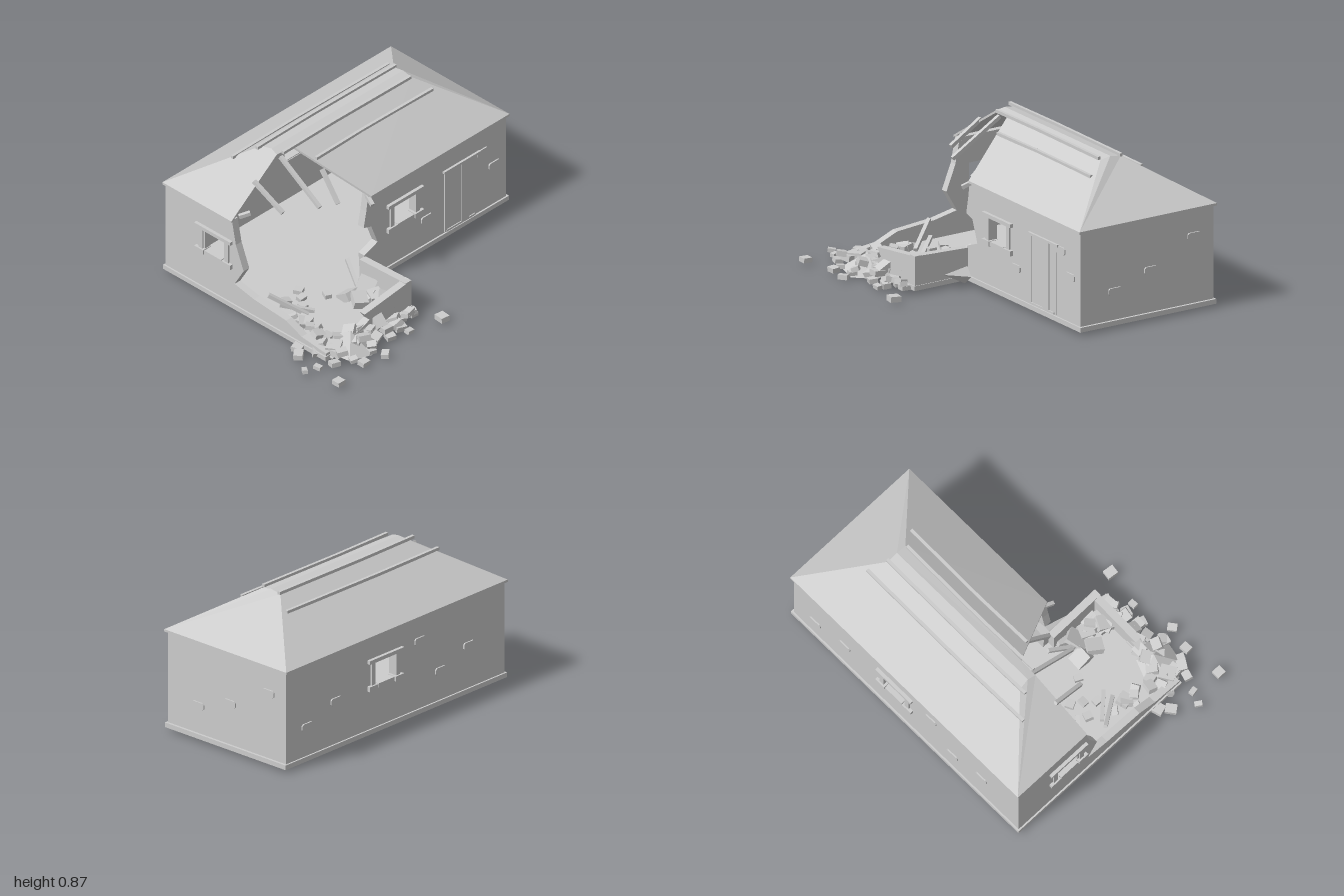
import * as THREE from 'three';

export function createModel() {
  const root = new THREE.Group();
  const plaster = new THREE.MeshStandardMaterial({ color: 0xcccccc, flatShading: true, side: THREE.DoubleSide });
  plaster.name = 'pale grey plaster';

  const add = (name, geo, x = 0, y = 0, z = 0) => {
    const m = new THREE.Mesh(geo, plaster);
    m.name = name;
    m.position.set(x, y, z);
    root.add(m);
    return m;
  };
  const box = (name, x0, x1, y0, y1, z0, z1) =>
    add(name, new THREE.BoxGeometry(x1 - x0, y1 - y0, z1 - z0), (x0 + x1) / 2, (y0 + y1) / 2, (z0 + z1) / 2);
  const path = pts => pts.map(p => new THREE.Vector2(p[0], p[1]));
  const extrude = (pts, depth, hole) => {
    const s = new THREE.Shape(path(pts));
    if (hole) {
      const [a, b, c, d] = hole;
      s.holes.push(new THREE.Path(path([[a, c], [a, d], [b, d], [b, c]])));
    }
    return new THREE.ExtrudeGeometry(s, { depth, bevelEnabled: false });
  };
  // Walls: outline in (x, y) facing front, or in (z, y) facing sideways
  const T = 0.045;
  const wallZ = (name, pts, z, hole) => add(name, extrude(pts, T, hole), 0, 0, z);
  const wallX = (name, pts, x, hole) => add(name, extrude(pts, T, hole).rotateY(-Math.PI / 2), x, 0, 0);
  // Square beam between two points
  const beam = (name, a, b, w = 0.018) => {
    const A = new THREE.Vector3(...a), B = new THREE.Vector3(...b);
    const m = add(name, new THREE.BoxGeometry(w, w, A.distanceTo(B)));
    m.position.copy(A).lerp(B, 0.5);
    m.lookAt(B);
    return m;
  };

  // L-shaped foundation and floor
  const plan = [[-0.815, 0.745], [0.995, 0.745], [0.995, -0.165], [-0.125, -0.165], [-0.125, -0.515], [-0.815, -0.515]];
  const lower = add('foundation', extrude(plan, 0.028).rotateX(-Math.PI / 2));
  lower.position.y = 0.015;

  // Main walls, with the front left corner broken away
  wallZ('frontWall', [[-0.13, 0.04], [0.98, 0.04], [0.98, 0.6], [-0.11, 0.6], [-0.125, 0.5], [-0.145, 0.4],
    [-0.085, 0.38], [-0.035, 0.25], [-0.14, 0.21]], 0.11, [0.09, 0.26, 0.3, 0.45]);
  wallZ('backWall', [[-0.8, 0.04], [0.98, 0.04], [0.98, 0.6], [-0.8, 0.6]], -0.735, [0.09, 0.26, 0.3, 0.45]);
  wallX('rightWall', [[-0.735, 0.04], [0.155, 0.04], [0.155, 0.6], [-0.735, 0.6]], 0.98);
  wallX('brokenLeftWall', [[-0.735, 0.04], [0.51, 0.04], [0.51, 0.06], [0.32, 0.08], [0.2, 0.13], [-0.05, 0.15],
    [-0.2, 0.18], [-0.13, 0.3], [-0.19, 0.45], [-0.22, 0.6], [-0.735, 0.6]], -0.76, [-0.43, -0.28, 0.3, 0.45]);
  wallX('lowWingSideWall', [[0.15, 0.03], [0.51, 0.03], [0.51, 0.215], [0.15, 0.2]], -0.13);
  wallZ('lowWingFrontWall', [[-0.78, 0.03], [-0.13, 0.03], [-0.13, 0.215], [-0.5, 0.17], [-0.46, 0.115],
    [-0.55, 0.08], [-0.78, 0.06]], 0.465);

  // Window surrounds: u runs along the wall, put() maps it into place
  const surround = (name, u, put) => {
    [[-0.14, 0.14, 0.44, 0.462, 0.02], [-0.14, -0.07, 0.275, 0.305, 0.02], [-0.065, 0.065, 0.28, 0.305, 0.016],
      [0.07, 0.14, 0.275, 0.305, 0.02], [-0.115, -0.085, 0.305, 0.44, 0.01], [0.085, 0.115, 0.305, 0.44, 0.01]]
      .forEach(([a, b, y0, y1, out]) => put(name, u + a, u + b, y0, y1, out));
  };
  const onFront = (n, a, b, y0, y1, o) => box(n, a, b, y0, y1, 0.115, 0.155 + o);
  const onBack = (n, a, b, y0, y1, o) => box(n, a, b, y0, y1, -0.735 - o, -0.695);
  const onLeft = (n, a, b, y0, y1, o) => box(n, -0.805 - o, -0.765, y0, y1, a, b);
  surround('frontWindowFrame', 0.175, onFront);
  surround('backWindowFrame', 0.175, onBack);
  surround('sideWindowFrame', -0.355, onLeft);

  // Door with lintel, threshold and raised planks
  onFront('door', 0.5, 0.75, 0.05, 0.45, 0.004);
  onFront('doorPlank', 0.62, 0.68, 0.05, 0.455, 0.01);
  onFront('doorJamb', 0.49, 0.51, 0.05, 0.455, 0.008);
  onFront('doorLintel', 0.48, 0.77, 0.452, 0.465, 0.014);
  onFront('doorThreshold', 0.5, 0.73, 0.048, 0.06, 0.01);

  // Stones showing through the plaster
  const stoneShape = [[-0.043, -0.012], [-0.034, -0.021], [0.034, -0.021], [0.043, -0.012],
    [0.043, 0.012], [0.034, 0.021], [-0.034, 0.021], [-0.043, 0.012]];
  const stoneGeo = extrude(stoneShape, 0.016);
  [[0.35, 0.215], [0.79, 0.44], [0.885, 0.31]].forEach(([x, y]) => add('wallStone', stoneGeo, x, y, 0.147));
  [[0.81, 0.22], [0.575, 0.3], [-0.11, 0.45], [-0.28, 0.22], [-0.51, 0.3]]
    .forEach(([x, y]) => add('wallStone', stoneGeo, x, y, -0.743));
  [[-0.075, 0.21], [-0.315, 0.29], [-0.605, 0.435]]
    .forEach(([z, y]) => { add('wallStone', stoneGeo, 0.972, y, z).rotation.y = Math.PI / 2; });

  // Roof panels: convex outlines given a small thickness
  const panel = (name, pts, t = 0.014) => {
    const pos = [], n = pts.length, low = pts.map(p => [p[0], p[1] - t, p[2]]);
    const tri = (...c) => c.forEach(p => pos.push(...p));
    for (let i = 0; i < n; i++) {
      const j = (i + 1) % n;
      if (i > 0 && i < n - 1) { tri(pts[0], pts[i], pts[j]); tri(low[0], low[j], low[i]); }
      tri(pts[i], low[i], low[j]);
      tri(pts[i], low[j], pts[j]);
    }
    const g = new THREE.BufferGeometry();
    g.setAttribute('position', new THREE.Float32BufferAttribute(pos, 3));
    g.computeVertexNormals();
    add(name, g);
  };
  const E = 0.602, R = 0.848, P = 0.86;
  const fr = [0.995, E, 0.17], br = [0.995, E, -0.75], bl = [-0.815, E, -0.75];
  const rf = [0.62, R, -0.225], rm = [0.62, P, -0.29], rb = [0.62, R, -0.36];
  const lf = [-0.31, R, -0.235], lm = [-0.42, P, -0.29], lb = [-0.43, R, -0.36];
  panel('frontRoof', [[-0.1, E, 0.17], fr, rf, lf]);
  panel('ridgeFront', [lf, rf, rm, lm]);
  panel('ridgeBack', [lm, rm, rb, lb]);
  panel('backRoof', [br, bl, lb, rb]);
  panel('rightHip', [fr, br, rb, rm, rf]);
  panel('brokenLeftHip', [bl, [-0.815, E, -0.215], [-0.43, R, -0.24], lm, lb]);
  panel('brokenRidgeEnd', [[-0.43, R, -0.24], lf, lm]);

  // Roof battens, each slightly crooked
  [[-0.56, 0.68, 0.787, -0.46], [-0.47, 0.63, 0.856, -0.357], [-0.4, 0.61, 0.856, -0.222], [-0.24, 0.68, 0.786, -0.122]]
    .forEach(([x0, x1, y, z]) => {
      const m = x0 + (x1 - x0) * 0.4;
      beam('roofBatten', [x0, y, z], [m, y, z - 0.006]);
      beam('roofBatten', [m, y, z - 0.006], [x1, y, z]);
    });

  // Snapped rafters hanging over the gap, and fallen ones
  [[[-0.6, 0.75, -0.25], [-0.585, 0.63, -0.04]], [[-0.4, 0.82, -0.24], [-0.405, 0.63, 0.07]],
    [[-0.215, 0.71, -0.1], [-0.24, 0.56, 0.05]], [[-0.75, 0.6, -0.22], [-0.7, 0.62, -0.18]],
    [[-0.1, 0.595, 0.13], [-0.12, 0.565, 0.2]],
    [[-0.74, 0.17, 0.0], [-0.61, 0.06, 0.18]], [[-0.68, 0.09, 0.03], [-0.55, 0.05, 0.17]],
    [[-0.2, 0.18, 0.08], [-0.3, 0.06, 0.3]]].forEach(([a, b]) => beam('brokenRafter', a, b, 0.022));

  // Rubble
  let seed = 11;
  const rnd = (a, b) => {
    seed = (seed * 16807) % 2147483647;
    return a + (b - a) * seed / 2147483647;
  };
  const chunk = (x, z, y, s, tilt) => {
    const m = add('rubble', new THREE.BoxGeometry(s, s * 0.5, s * rnd(0.65, 1)), x, y, z);
    m.rotation.set(rnd(-tilt, tilt), rnd(0, 3), rnd(-tilt, tilt));
  };
  // stones lying clear of the walls
  [[-0.965, 0.5], [-0.91, 0.71], [-0.88, 0.37], [-0.89, 0.53], [-0.54, 0.71], [-0.07, 0.69], [-0.29, 0.65],
    [-0.68, 0.68], [-0.83, 0.32], [-0.7, 0.62], [-0.4, 0.61], [-0.3, 0.59], [-0.57, 0.63], [-0.8, 0.57]]
    .forEach(([x, z], i) => chunk(x, z, 0.022, 0.045 + (i % 3) * 0.01, 0.15));
  // stones spilt on the floor
  [[-0.52, 0.04], [-0.48, -0.02], [-0.6, 0.0], [-0.57, 0.1], [-0.68, 0.13], [-0.4, 0.12]]
    .forEach(([x, z]) => chunk(x, z, 0.06, 0.05, 0.25));
  // heap along the broken wing walls
  for (let i = 0; i < 20; i++) chunk(rnd(-0.79, -0.4), rnd(0.42, 0.62), rnd(0.03, 0.085), rnd(0.05, 0.09), 0.5);
  for (let i = 0; i < 12; i++) chunk(rnd(-0.35, -0.17), rnd(0.18, 0.45), rnd(0.06, 0.1), rnd(0.06, 0.11), 0.5);
  for (let i = 0; i < 8; i++) chunk(rnd(-0.76, -0.66), rnd(0.2, 0.45), rnd(0.05, 0.08), rnd(0.05, 0.08), 0.4);
  for (let i = 0; i < 7; i++) chunk(rnd(-0.36, -0.15), rnd(0.52, 0.57), rnd(0.03, 0.06), rnd(0.05, 0.07), 0.4);
  // fallen slabs of wall
  const mound = add('rubbleMound', new THREE.ConeGeometry(0.15, 0.1, 6), -0.61, 0.06, 0.5);
  mound.rotation.set(0.1, 0.3, -0.1);
  const slab = add('fallenSlab', new THREE.BoxGeometry(0.12, 0.03, 0.1), -0.24, 0.1, 0.26);
  slab.rotation.set(0.4, 0.5, 0.3);
  const wedge = add('fallenSlab', new THREE.ConeGeometry(0.05, 0.15, 4), -0.1, 0.07, 0.26);
  wedge.rotation.x = 1.4;

  return root;
}
